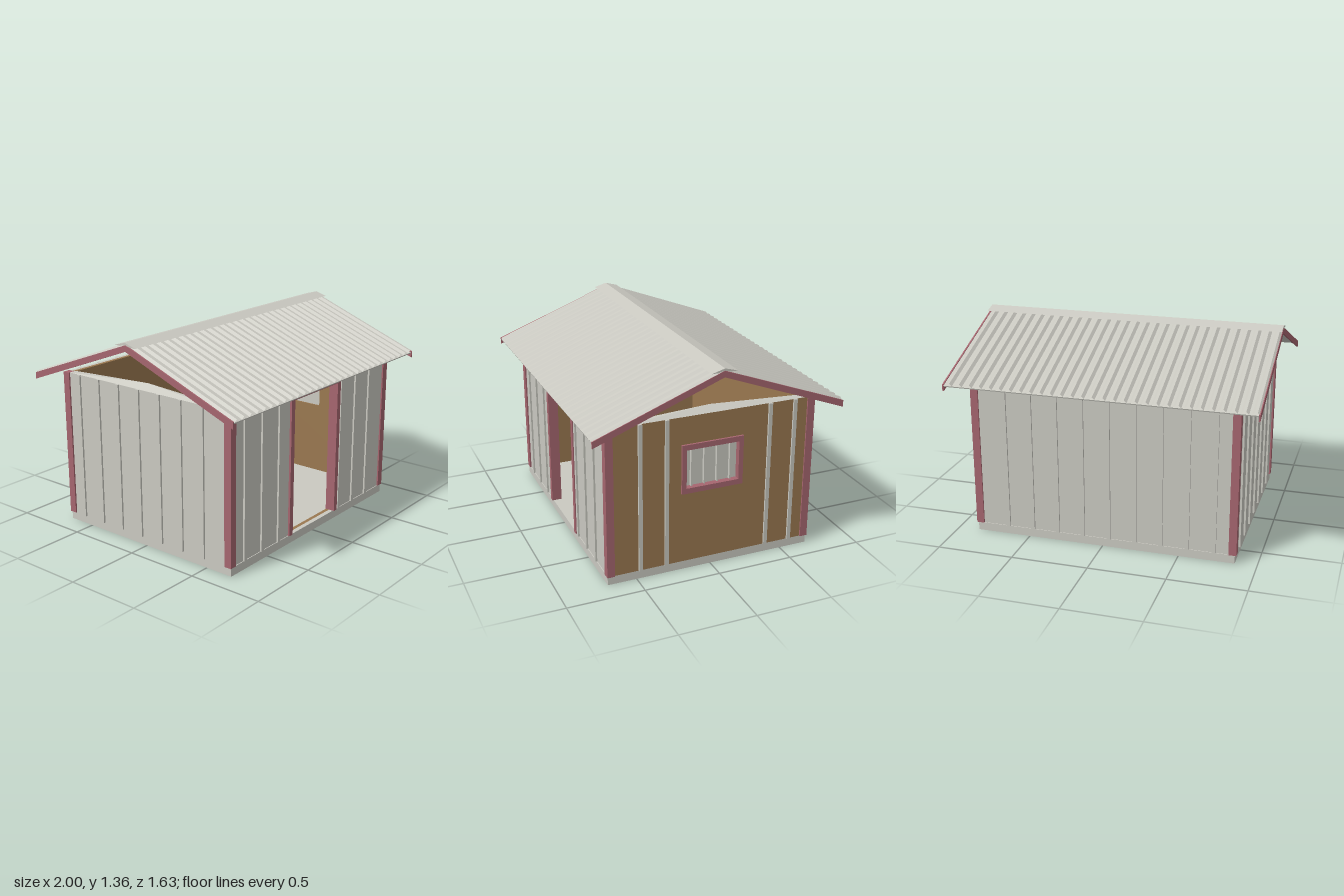
import * as THREE from 'three';
import { ConvexGeometry } from 'three/addons/geometries/ConvexGeometry.js';

const grey = new THREE.MeshStandardMaterial({ color: 0xcac9c1 });
grey.name = 'pale grey sheet';
const brown = new THREE.MeshStandardMaterial({ color: 0x9a7850 });
brown.name = 'brown board';
const red = new THREE.MeshStandardMaterial({ color: 0xa6666f });
red.name = 'dusty red trim';

const BASE = 0.055, TOP = 1.035;           // wall foot and wall head
const EAVE_Z = 0.815, RIDGE_Y = 1.35, DROP = 0.31;

function add(parent, name, geometry, material, x = 0, y = 0, z = 0) {
  const mesh = new THREE.Mesh(geometry, material);
  mesh.name = name;
  mesh.position.set(x, y, z);
  parent.add(mesh);
  return mesh;
}

function box(parent, name, w, h, d, material, x, y, z) {
  return add(parent, name, new THREE.BoxGeometry(w, h, d), material, x, y, z);
}

function polygon(points) {
  return new THREE.Shape(points.map(([x, y]) => new THREE.Vector2(x, y)));
}

function rect(x0, y0, x1, y1) {
  return polygon([[x0, y0], [x1, y0], [x1, y1], [x0, y1]]);
}

function extrude(shape, depth) {
  return new THREE.ExtrudeGeometry(shape, { depth, bevelEnabled: false });
}

// Wall in its own frame: outer face at z = 0, brown lining behind
function makeWall(name, halfWidth, skin, battens, hole) {
  const wall = new THREE.Group();
  wall.name = name;
  const shape = rect(-halfWidth, BASE, halfWidth, TOP);
  if (hole) shape.holes.push(rect(...hole));
  add(wall, 'outerSkin', extrude(shape, 0.025), skin, 0, 0, -0.025);
  add(wall, 'innerLining', extrude(shape, 0.025), brown, 0, 0, -0.05);
  for (const x of battens) {
    box(wall, 'batten', 0.025, TOP - BASE, 0.012, grey, x, (TOP + BASE) / 2, 0.006);
  }
  return wall;
}

// Wall head whose inner edge rises gently to the middle
function addWallHead(wall, halfWidth) {
  const pts = [];
  for (const s of [-1, 1]) {
    pts.push(new THREE.Vector3(s * halfWidth, TOP, 0), new THREE.Vector3(s * halfWidth, TOP, -0.05));
  }
  pts.push(new THREE.Vector3(0, 1.07, -0.05));
  add(wall, 'wallHead', new ConvexGeometry(pts), grey);
}

// One roof slope: corrugated sheet with a flat lining under it
function makeSlope(name) {
  const slope = new THREE.Group();
  slope.name = name;
  const ribs = 30, cols = ribs * 4;
  const plane = new THREE.PlaneGeometry(2, 1, cols, 1);
  const pos = plane.attributes.position;
  for (let i = 0; i < pos.count; i++) {
    const t = 0.5 - pos.getY(i);
    const h = (i % (cols + 1)) % 4 < 2 ? -0.008 : 0.008;
    pos.setXYZ(i, pos.getX(i), RIDGE_Y - DROP * t + h, EAVE_Z * t);
  }
  const sheet = plane.toNonIndexed();
  sheet.computeVertexNormals();
  add(slope, 'corrugatedSheet', sheet, grey);
  const lining = box(slope, 'roofLining', 1.98, 0.008, Math.hypot(EAVE_Z, DROP) - 0.01, grey,
    0, RIDGE_Y - DROP / 2 - 0.016, EAVE_Z / 2);
  lining.rotation.x = Math.atan2(DROP, EAVE_Z);
  return slope;
}

export function createModel() {
  const shed = new THREE.Group();
  shed.name = 'shed';

  // Floor slab and corner posts
  box(shed, 'floorSlab', 1.72, BASE, 1.38, grey, 0, BASE / 2, 0);
  for (const sx of [-1, 1]) for (const sz of [-1, 1]) {
    box(shed, 'cornerPost', 0.05, TOP - BASE, 0.05, red, sx * 0.845, (TOP + BASE) / 2, sz * 0.67);
  }

  // Batten rows
  const longRow = Array.from({ length: 9 }, (_, i) => -0.727 + 0.1715 * i);
  const shortRow = Array.from({ length: 7 }, (_, i) => -0.558 + 0.172 * i);

  // Front wall with doorway
  const front = makeWall('frontWall', 0.822, grey, longRow.filter((x) => Math.abs(x) > 0.28),
    [-0.245, BASE, 0.245, 0.96]);
  front.position.z = 0.685;
  const doorFrame = polygon([[-0.275, BASE], [-0.24, BASE], [-0.24, 0.958], [0.24, 0.958],
    [0.24, BASE], [0.275, BASE], [0.275, 0.995], [-0.275, 0.995]]);
  add(front, 'doorFrame', extrude(doorFrame, 0.066), red, 0, 0, -0.052);

  // Back wall
  const back = makeWall('backWall', 0.822, grey, longRow.map((x) => -x));
  back.position.z = -0.685;
  back.rotation.y = Math.PI;

  // Board-clad side with window
  const side = makeWall('windowWall', 0.647, brown,
    shortRow.filter((z) => Math.abs(z) > 0.25).map((z) => -z), [-0.18, 0.56, 0.18, 0.825]);
  side.position.x = 0.86;
  side.rotation.y = Math.PI / 2;
  addWallHead(side, 0.647);
  const frame = rect(-0.205, 0.53, 0.205, 0.855);
  frame.holes.push(rect(-0.175, 0.565, 0.175, 0.82));
  add(side, 'windowFrame', extrude(frame, 0.04), red, 0, 0, -0.026);
  box(side, 'windowPane', 0.36, 0.27, 0.008, grey, 0, 0.6925, -0.036);
  for (const x of [-0.13, -0.044, 0.042, 0.13]) {
    box(side, 'windowBar', 0.01, 0.26, 0.02, grey, x, 0.6925, -0.022);
  }

  // Plain side
  const plain = makeWall('plainSideWall', 0.647, grey, shortRow);
  plain.position.x = -0.86;
  plain.rotation.y = -Math.PI / 2;
  addWallHead(plain, 0.647);
  shed.add(front, back, side, plain);

  // Roof slopes
  const rearSlope = makeSlope('rearSlope');
  rearSlope.rotation.y = Math.PI;
  shed.add(makeSlope('frontSlope'), rearSlope);

  // Gable barge boards
  const barge = polygon([[0, 1.345], [-EAVE_Z, 1.038], [-EAVE_Z, 0.995], [0, 1.305],
    [EAVE_Z, 0.995], [EAVE_Z, 1.038]]);
  for (const x of [1, -0.99]) {
    add(shed, 'bargeBoard', extrude(barge, 0.01), red, x, 0, 0).rotation.y = -Math.PI / 2;
  }

  // Ridge cap
  const cap = polygon([[0, 1.36], [-0.085, 1.336], [-0.04, 1.336], [0, 1.346],
    [0.04, 1.336], [0.085, 1.336]]);
  add(shed, 'ridgeCap', extrude(cap, 2), grey, 1, 0, 0).rotation.y = -Math.PI / 2;

  return shed;
}
